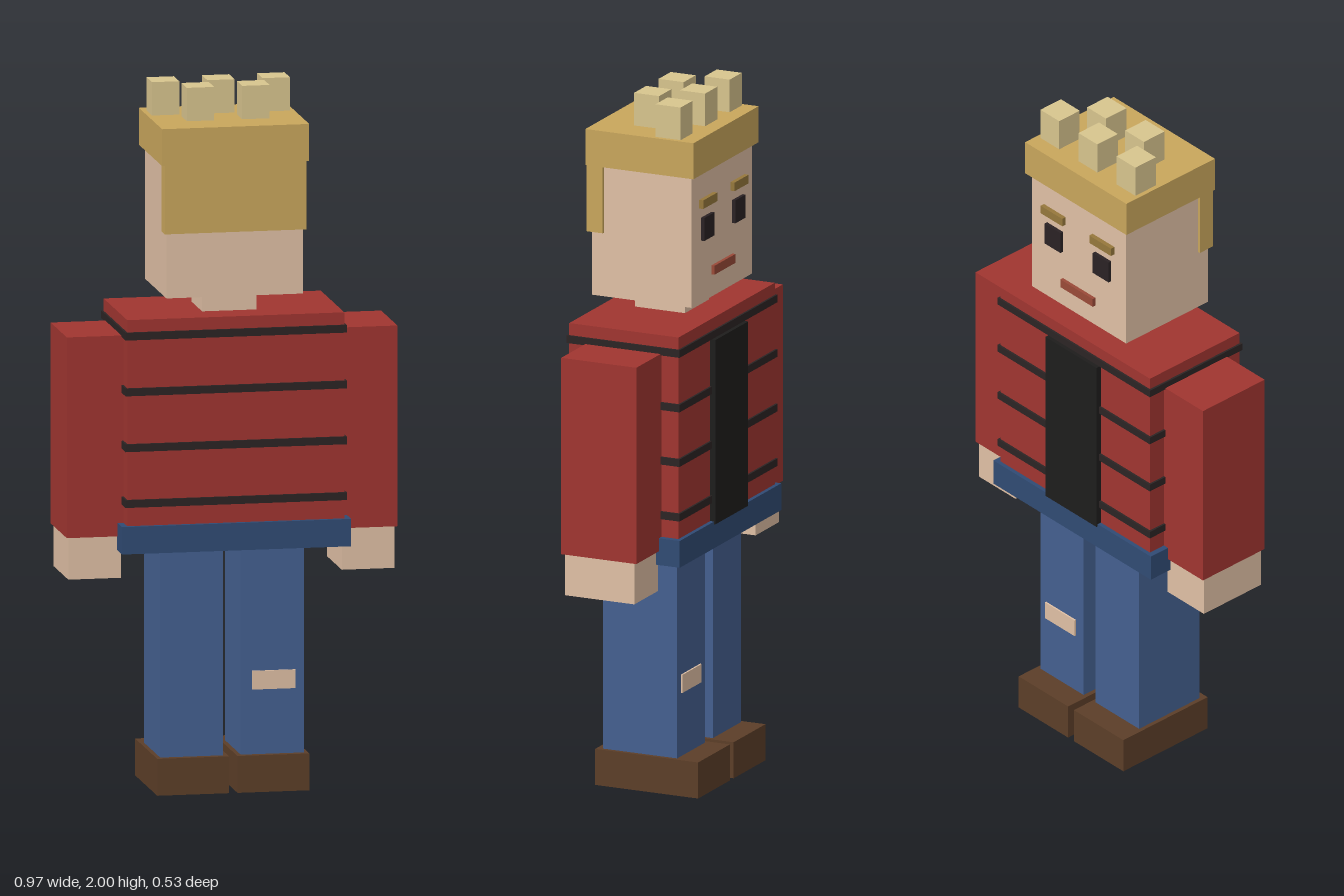
import * as THREE from 'three';

const COLORS = {
  skin: 0xe0c0a5, hair: 0xc9a65c, tuft: 0xd8c58e, shirt: 0xa03530, stripe: 0x2c2424,
  panel: 0x1e1d1c, jeans: 0x446090, belt: 0x304b74, shoe: 0x5c3e28,
  eye: 0x2a2224, brow: 0x96783c, mouth: 0x9a4a38,
};

export function createModel() {
  const model = new THREE.Group();
  model.name = 'blockFigure';
  const figure = new THREE.Group();
  figure.name = 'figure';
  figure.rotation.y = THREE.MathUtils.degToRad(15.5); // turned on the spot, face towards -z
  model.add(figure);

  const materials = {};
  for (const [key, color] of Object.entries(COLORS)) {
    materials[key] = new THREE.MeshStandardMaterial({ color, flatShading: true });
  }

  // Box given by its extents along each axis
  const block = (name, color, [x0, x1], [y0, y1], [z0, z1]) => {
    const mesh = new THREE.Mesh(new THREE.BoxGeometry(x1 - x0, y1 - y0, z1 - z0), materials[color]);
    mesh.position.set((x0 + x1) / 2, (y0 + y1) / 2, (z0 + z1) / 2);
    mesh.name = name;
    figure.add(mesh);
  };
  // Same box on both sides of the body
  const pair = (name, color, [x0, x1], y, z) => {
    block('left' + name, color, [x0, x1], y, z);
    block('right' + name, color, [-x1, -x0], y, z);
  };

  // Legs and shoes
  pair('Shoe', 'shoe', [0.012, 0.217], [0, 0.105], [-0.186, 0.134]);
  pair('Leg', 'jeans', [0.025, 0.205], [0.105, 0.7], [-0.115, 0.115]);
  block('kneeTear', 'skin', [0.057, 0.181], [0.29, 0.343], [-0.12, 0.12]);

  // Torso with belt, stripes and open-jacket panel
  block('belt', 'belt', [-0.327, 0.327], [0.7, 0.778], [-0.182, 0.182]);
  block('shirt', 'shirt', [-0.31, 0.31], [0.77, 1.365], [-0.17, 0.17]);
  for (let i = 0; i < 4; i++) {
    const y = 0.842 + i * 0.159;
    block('stripe' + (i + 1), 'stripe', [-0.316, 0.316], [y - 0.011, y + 0.011], [-0.176, 0.176]);
  }
  block('shirtPanel', 'panel', [-0.106, 0.106], [0.77, 1.307], [-0.186, -0.165]);

  // Arms
  pair('Sleeve', 'shirt', [0.308, 0.472], [0.74, 1.312], [-0.117, 0.117]);
  pair('Hand', 'skin', [0.315, 0.466], [0.62, 0.74], [-0.108, 0.108]);

  // Head
  block('neck', 'skin', [-0.078, 0.078], [1.36, 1.42], [-0.078, 0.078]);
  block('head', 'skin', [-0.195, 0.195], [1.42, 1.81], [-0.155, 0.155]);
  pair('Eye', 'eye', [0.067, 0.133], [1.6, 1.667], [-0.165, -0.15]);
  pair('Eyebrow', 'brow', [0.056, 0.146], [1.697, 1.722], [-0.168, -0.15]);
  block('mouth', 'mouth', [-0.067, 0.067], [1.485, 1.511], [-0.165, -0.15]);

  // Hair cap, back hair and tufts
  block('hairCap', 'hair', [-0.21, 0.21], [1.8, 1.905], [-0.168, 0.168]);
  block('backHair', 'hair', [-0.202, 0.202], [1.605, 1.8], [0.118, 0.168]);
  const tufts = [[-0.158, -0.083], [0, -0.083], [0.158, -0.083], [-0.079, 0.022], [0.079, 0.022]];
  tufts.forEach(([x, z], i) => {
    block('hairTuft' + (i + 1), 'tuft', [x - 0.039, x + 0.039], [1.9, 2], [z - 0.039, z + 0.039]);
  });

  return model;
}
